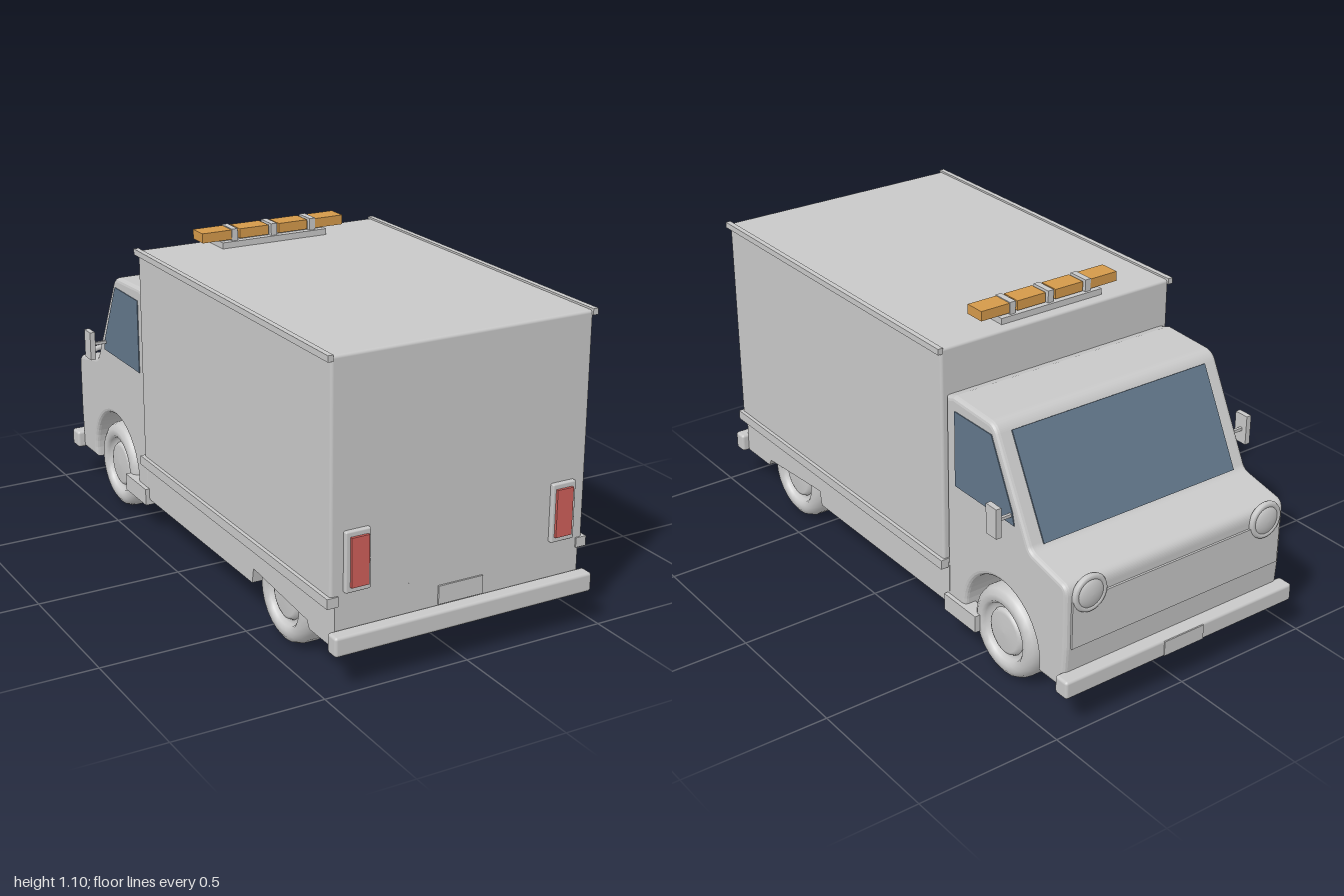
import * as THREE from 'three';
import { RoundedBoxGeometry } from 'three/addons/geometries/RoundedBoxGeometry.js';

const material = (name, color) => Object.assign(new THREE.MeshStandardMaterial({ color }), { name });

export function createModel() {
  const truck = new THREE.Group();
  truck.name = 'boxTruck';
  const body = material('bodyGrey', 0xc8c8c8);
  const glass = material('windowBlue', 0x62768a);
  const amber = material('beaconAmber', 0xd4994a);
  const red = material('tailRed', 0xd0605a);

  const add = (name, geometry, mat = body, parent = truck) => {
    const mesh = new THREE.Mesh(geometry, mat);
    mesh.name = name;
    parent.add(mesh);
    return mesh;
  };
  // Box given by its limits on each axis, optionally with rounded edges
  const box = (name, [x0, x1], [y0, y1], [z0, z1], mat = body, r = 0) => {
    const s = [x1 - x0, y1 - y0, z1 - z0];
    const g = r ? new RoundedBoxGeometry(...s, 2, r) : new THREE.BoxGeometry(...s);
    g.translate((x0 + x1) / 2, (y0 + y1) / 2, (z0 + z1) / 2);
    return add(name, g, mat);
  };
  // The same box on both sides
  const pair = (name, [x0, x1], y, z, mat, r) => {
    box(name + 'Left', [x0, x1], y, z, mat, r);
    box(name + 'Right', [-x1, -x0], y, z, mat, r);
  };
  // Side profile (forward distance, height) extruded across x from x0 to x1
  const across = (shape, x0, x1, bevel = 0) => {
    const g = new THREE.ExtrudeGeometry(shape, {
      depth: x1 - x0 - 2 * bevel, bevelEnabled: bevel > 0, bevelSize: bevel,
      bevelThickness: bevel, bevelOffset: -bevel, bevelSegments: 3, curveSegments: 12,
    });
    return g.translate(0, 0, x0 + bevel).rotateY(Math.PI / 2);
  };

  // Cab with open wheel arch, sloped windscreen and short hood
  const cab = new THREE.Shape();
  cab.moveTo(0.35, 0.125);
  cab.lineTo(0.447, 0.125);
  cab.absarc(0.635, 0.16, 0.19, Math.PI, 0, true);
  cab.lineTo(0.823, 0.125);
  cab.lineTo(0.947, 0.125);
  cab.lineTo(0.957, 0.27);
  cab.lineTo(0.957, 0.455);
  cab.quadraticCurveTo(0.957, 0.488, 0.93, 0.495);
  cab.lineTo(0.80, 0.522);
  cab.quadraticCurveTo(0.78, 0.526, 0.772, 0.541);
  cab.lineTo(0.615, 0.847);
  cab.quadraticCurveTo(0.6, 0.878, 0.57, 0.88);
  cab.lineTo(0.39, 0.888);
  cab.lineTo(0.35, 0.875);
  add('cab', across(cab, -0.44, 0.44, 0.015));
  box('frontAxleBlock', [-0.3, 0.3], [0.127, 0.31], [-0.84, -0.43]);

  // Lower chassis with shallow rear wheel cutouts
  const chassis = new THREE.Shape([
    [-0.95, 0.125], [-0.8, 0.125], [-0.785, 0.15], [-0.6, 0.165], [-0.44, 0.178],
    [-0.43, 0.125], [0.36, 0.125], [0.36, 0.28], [-0.95, 0.28],
  ].map(p => new THREE.Vector2(...p)));
  add('chassis', across(chassis, -0.44, 0.44));

  // Cargo box and its side rails
  box('cargoBox', [-0.455, 0.455], [0.268, 1.035], [-0.35, 0.95], body, 0.01);
  pair('roofRail', [0.45, 0.468], [1.02, 1.04], [-0.355, 0.955]);
  pair('lowerRail', [0.43, 0.468], [0.262, 0.295], [-0.355, 0.955]);
  pair('cabStep', [0.40, 0.455], [0.105, 0.165], [-0.52, -0.35]);

  // Bumpers, number plates and front panel
  box('rearBumper', [-0.465, 0.465], [0.122, 0.187], [0.95, 1.0], body, 0.01);
  box('frontBumper', [-0.465, 0.465], [0.125, 0.187], [-0.997, -0.94], body, 0.01);
  box('rearPlate', [-0.08, 0.08], [0.187, 0.248], [0.948, 0.956]);
  box('frontPlate', [-0.08, 0.08], [0.13, 0.182], [-1.0, -0.994]);
  box('frontPanel', [-0.42, 0.42], [0.272, 0.435], [-0.964, -0.95]);

  // Windows
  const screen = add('windscreen', new THREE.BoxGeometry(0.77, 0.355, 0.008), glass);
  screen.position.set(0, 0.693, -0.695);
  screen.rotation.x = 0.474;
  const pane = new THREE.Shape([[0.4, 0.582], [0.705, 0.582], [0.695, 0.625], [0.59, 0.842], [0.4, 0.842]]
    .map(p => new THREE.Vector2(...p)));
  add('sideWindowLeft', across(pane, 0.436, 0.443), glass);
  add('sideWindowRight', across(pane, -0.443, -0.436), glass);

  // Mirrors and tail lights
  pair('mirrorArm', [0.43, 0.5], [0.609, 0.619], [-0.694, -0.684]);
  pair('mirror', [0.495, 0.514], [0.564, 0.666], [-0.712, -0.66]);
  pair('tailLightFrame', [0.325, 0.411], [0.303, 0.498], [0.945, 0.965], body, 0.005);
  pair('tailLight', [0.336, 0.396], [0.322, 0.481], [0.965, 0.974], red);

  // Headlights: domed lens inside a ring
  for (const side of [-1, 1]) {
    const lamp = new THREE.Group();
    lamp.name = 'headlight';
    lamp.position.set(side * 0.355, 0.448, -0.96);
    add('headlightRing', new THREE.TorusGeometry(0.054, 0.011, 8, 28), body, lamp);
    const lens = add('headlightLens', new THREE.SphereGeometry(0.052, 24, 8, 0, Math.PI * 2, 0, Math.PI / 2), body, lamp);
    lens.geometry.rotateX(-Math.PI / 2);
    lens.geometry.scale(1, 1, 0.38);
    lens.geometry.computeVertexNormals();
    truck.add(lamp);
  }

  // Warning light bar
  box('lightBarBase', [-0.2, 0.2], [1.034, 1.056], [-0.315, -0.222]);
  for (const x of [-0.215, -0.075, 0.075, 0.215]) {
    box('beacon', [x - 0.055, x + 0.055], [1.061, 1.094], [-0.304, -0.232], amber);
  }
  for (const x of [-0.15, 0, 0.15]) {
    box('lightBarDivider', [x - 0.011, x + 0.011], [1.05, 1.097], [-0.306, -0.23]);
  }
  box('lightBarCore', [-0.2, 0.2], [1.056, 1.085], [-0.29, -0.245]);

  // Wheels: tyre and hub turned in one profile
  const tyre = new THREE.LatheGeometry([
    [0, -0.06], [0.13, -0.06], [0.148, -0.048], [0.157, -0.025], [0.157, 0.025],
    [0.148, 0.048], [0.13, 0.06], [0.11, 0.06], [0.1, 0.05], [0.096, 0.035], [0.08, 0.035],
  ].map(p => new THREE.Vector2(...p)), 24).rotateZ(-Math.PI / 2);
  const hub = new THREE.LatheGeometry([
    [0.082, 0.033], [0.076, 0.046], [0.066, 0.05], [0.0, 0.053],
  ].map(p => new THREE.Vector2(...p)), 24).rotateZ(-Math.PI / 2);
  for (const z of [-0.635, 0.618]) {
    for (const side of [-1, 1]) {
      const wheel = new THREE.Group();
      wheel.name = z < 0 ? 'frontWheel' : 'rearWheel';
      wheel.position.set(side * 0.376, 0.157, z);
      wheel.rotation.y = side < 0 ? Math.PI : 0;
      add('tyre', tyre, body, wheel);
      add('hub', hub, body, wheel);
      truck.add(wheel);
    }
  }
  return truck;
}
